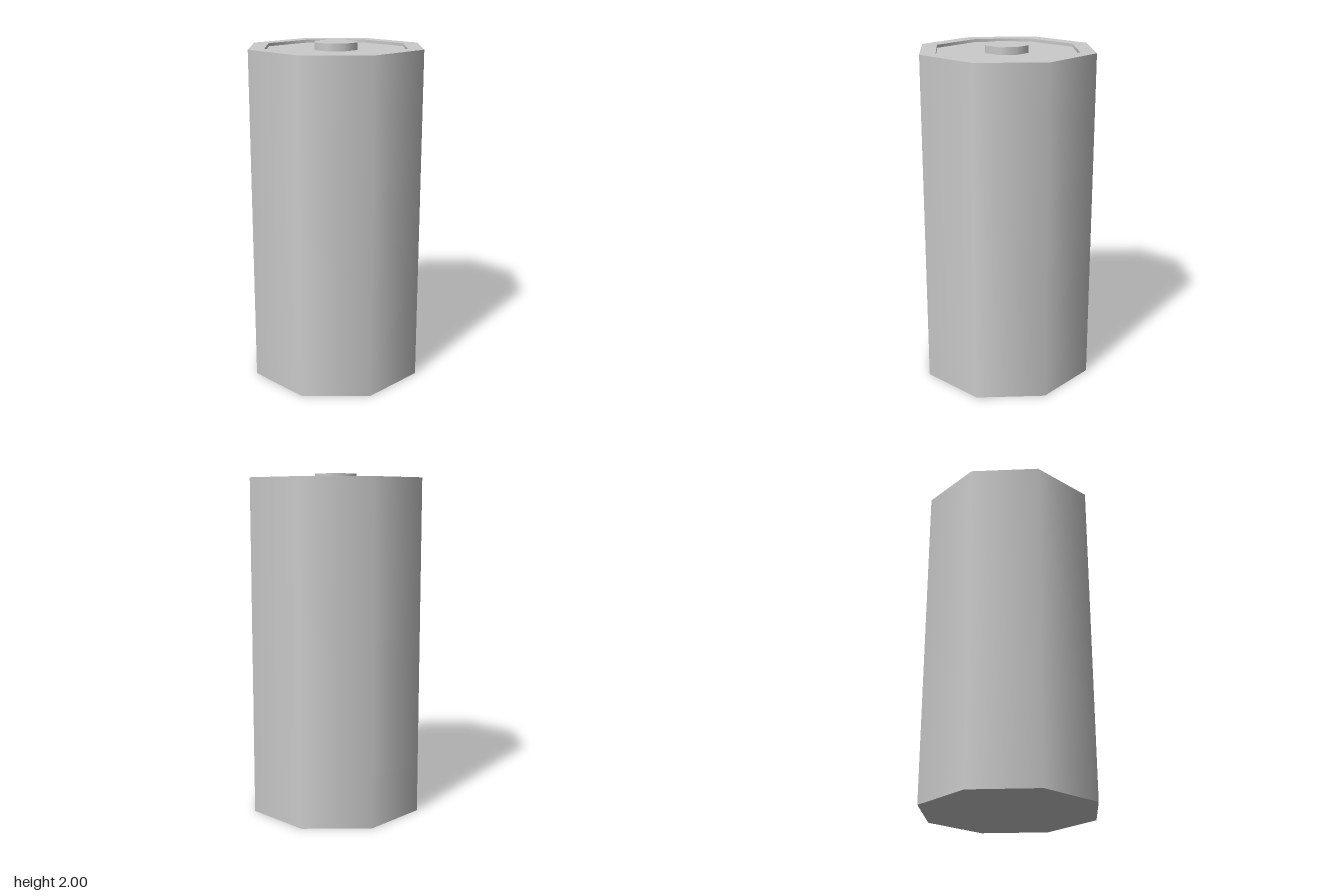
import * as THREE from 'three';

const SIDES = 8;
const material = new THREE.MeshStandardMaterial({ color: 0xcccccc });

// Eight-sided turned part: corners are doubled so profile edges stay sharp
// while the shading runs smoothly around the axis.
function turned(name, profile) {
  const points = [];
  profile.forEach(([r, y], i) => {
    points.push(new THREE.Vector2(r, y));
    if (i > 0 && i < profile.length - 1) points.push(new THREE.Vector2(r, y));
  });
  const mesh = new THREE.Mesh(new THREE.LatheGeometry(points, SIDES), material);
  mesh.name = name;
  return mesh;
}

export function createModel() {
  const group = new THREE.Group();
  group.name = 'battery';

  const radius = 0.528, rimY = 1.975;
  const recessRadius = 0.432, recessY = 1.957;
  const nubRadius = 0.132, nubY = 2;

  // Body with flat base, raised rim and shallow recessed top
  group.add(turned('body', [
    [0, 0], [radius, 0], [radius, rimY],
    [recessRadius, rimY], [recessRadius, recessY], [0, recessY],
  ]));

  // Contact nub in the middle of the recess
  group.add(turned('terminal', [
    [nubRadius, recessY], [nubRadius, nubY], [0, nubY],
  ]));

  return group;
}
